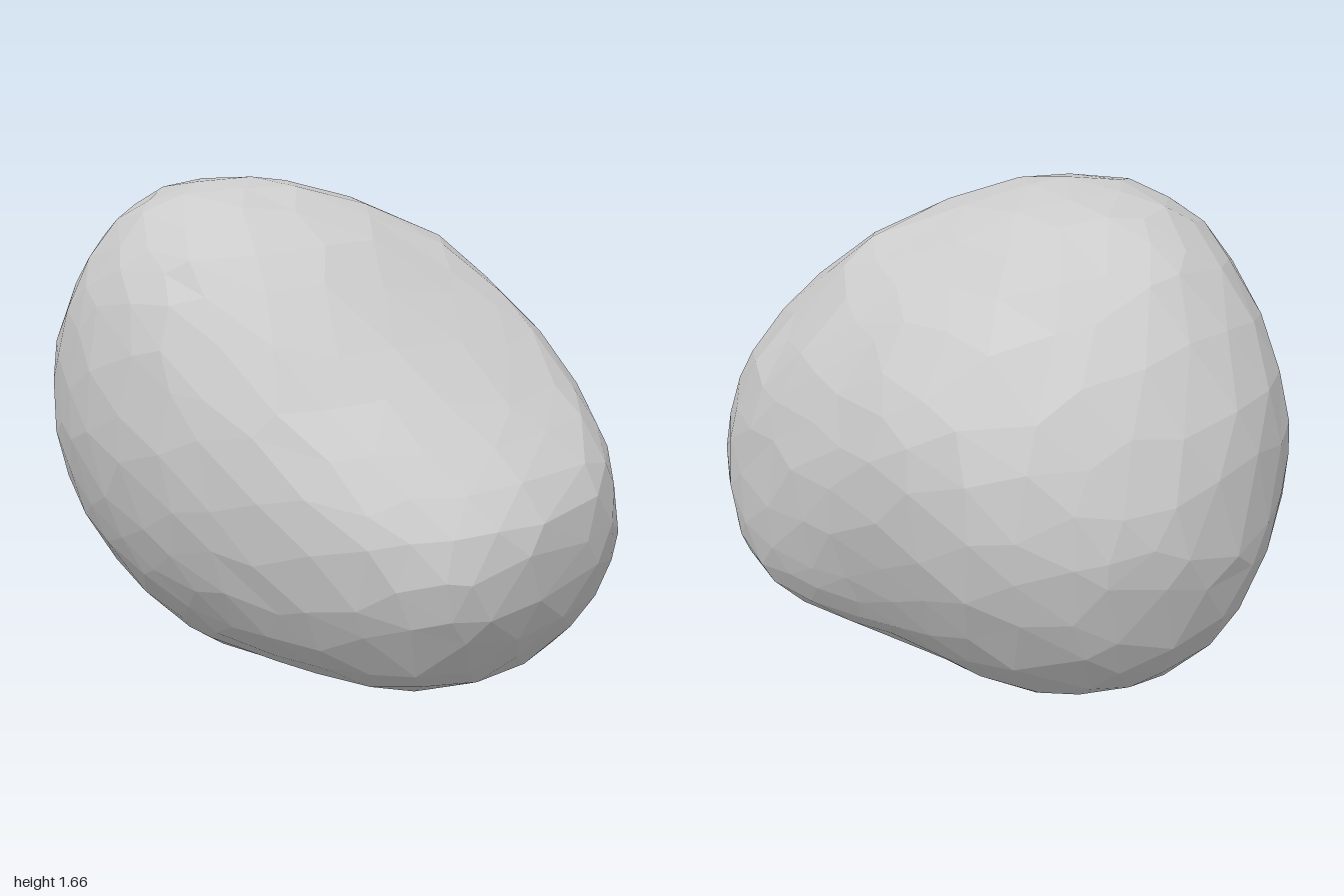
import * as THREE from 'three';

// Outline of the boulder at x = sin(-90..90 degrees), in 15 degree steps
const TOP = [0.73, 1.07, 1.29, 1.49, 1.62, 1.665, 1.64, 1.52, 1.3, 1.11, 0.97, 0.86, 0.74];
const BOTTOM = [0.72, 0.54, 0.31, 0.16, 0.05, 0, 0.03, 0.06, 0.085, 0.15, 0.32, 0.49, 0.7];
const FRONT = [0.01, 0.2, 0.41, 0.53, 0.63, 0.7, 0.72, 0.68, 0.63, 0.56, 0.45, 0.29, 0.03];
const BACK = [-0.05, -0.26, -0.44, -0.59, -0.71, -0.725, -0.7, -0.69, -0.66, -0.58, -0.44, -0.27, -0.05];
// Where the crest and keel lie in z, and the height of the widest point on each side
const CREST = [-0.02, 0, 0, 0.03, 0.09, 0.14, 0.1, -0.1, -0.28, -0.28, -0.18, -0.08, 0];
const KEEL = [-0.02, 0, 0, 0, 0, 0, 0, -0.03, -0.06, -0.1, -0.08, -0.04, 0];
const FRONT_MID = [0.72, 0.78, 0.82, 0.86, 0.9, 0.92, 0.9, 0.85, 0.78, 0.72, 0.68, 0.67, 0.72];
const BACK_MID = [0.72, 0.8, 0.82, 0.86, 0.92, 0.93, 0.82, 0.7, 0.6, 0.59, 0.61, 0.66, 0.72];

// Roundness of each quarter of the cross-section, at the left and right of the front (2 is an ellipse)
const ROUND = {
  topFront: [2.4, 2.2],
  topBack: [1.75, 1.95],
  bottomFront: [1.8, 2.1],
  bottomBack: [1.9, 2.45],
};

// Shallow hollows high on the back: centre, radius, depth
const DENTS = [
  { at: new THREE.Vector3(0.42, 1.24, -0.48), radius: 0.2, depth: 0.035 },
  { at: new THREE.Vector3(-0.28, 1.45, -0.44), radius: 0.22, depth: 0.04 },
];
const CENTRE = new THREE.Vector3(0, 0.8, 0);

function sample(table, x) {
  const t = (Math.asin(THREE.MathUtils.clamp(x, -1, 1)) / Math.PI + 0.5) * (table.length - 1);
  const i = Math.min(Math.floor(t), table.length - 2);
  return THREE.MathUtils.lerp(table[i], table[i + 1], t - i);
}

// Repeatable noise in -1..1, equal for coincident corners
function noise(p, seed) {
  const r = (v) => Math.round(v * 1000);
  const s = Math.sin(r(p.x) * 12.9898 + r(p.y) * 78.233 + r(p.z) * 37.719 + seed * 19.19) * 43758.5453;
  return (s - Math.floor(s)) * 2 - 1;
}

// Maps a point of the unit sphere onto the boulder
function shape(n) {
  const length = Math.hypot(n.y, n.z) || 1;
  const up = n.y >= 0, front = n.z >= 0;
  const [left, right] = ROUND[(up ? 'top' : 'bottom') + (front ? 'Front' : 'Back')];
  const power = 2 / THREE.MathUtils.lerp(left, right, THREE.MathUtils.smoothstep(n.x, -0.3, 0.5));
  const s = Math.pow(Math.abs(n.y) / length, power);
  const c = Math.pow(Math.abs(n.z) / length, power);
  const mid = sample(front ? FRONT_MID : BACK_MID, n.x);
  const axis = sample(up ? CREST : KEEL, n.x);
  const p = new THREE.Vector3(
    n.x,
    THREE.MathUtils.lerp(mid, sample(up ? TOP : BOTTOM, n.x), s),
    THREE.MathUtils.lerp(axis, sample(front ? FRONT : BACK, n.x), c)
  );
  for (const d of DENTS) {
    const k = Math.max(0, 1 - p.distanceTo(d.at) / d.radius);
    p.addScaledVector(CENTRE.clone().sub(p).normalize(), d.depth * k);
  }
  return p;
}

export function createModel() {
  const geometry = new THREE.IcosahedronGeometry(1, 5);
  const position = geometry.attributes.position;
  const v = new THREE.Vector3();

  // Irregular facets: nudge the sphere's corners, then shape them
  for (let i = 0; i < position.count; i++) {
    v.fromBufferAttribute(position, i);
    const nudge = new THREE.Vector3(noise(v, 1), noise(v, 2), noise(v, 3)).multiplyScalar(0.04);
    const rough = 0.003 + noise(v, 4) * 0.004;
    const p = shape(v.clone().add(nudge).normalize());
    p.addScaledVector(p.clone().sub(CENTRE).normalize(), rough);
    position.setXYZ(i, p.x, p.y, p.z);
  }

  // Stand it centred on the ground
  geometry.computeBoundingBox();
  const middle = geometry.boundingBox.getCenter(new THREE.Vector3());
  geometry.translate(-middle.x, -geometry.boundingBox.min.y, -middle.z);
  geometry.computeVertexNormals();

  const boulder = new THREE.Mesh(
    geometry,
    new THREE.MeshStandardMaterial({ color: 0xcccccc, flatShading: true })
  );
  boulder.name = 'boulder';

  const model = new THREE.Group();
  model.name = 'rock';
  model.add(boulder);
  return model;
}
